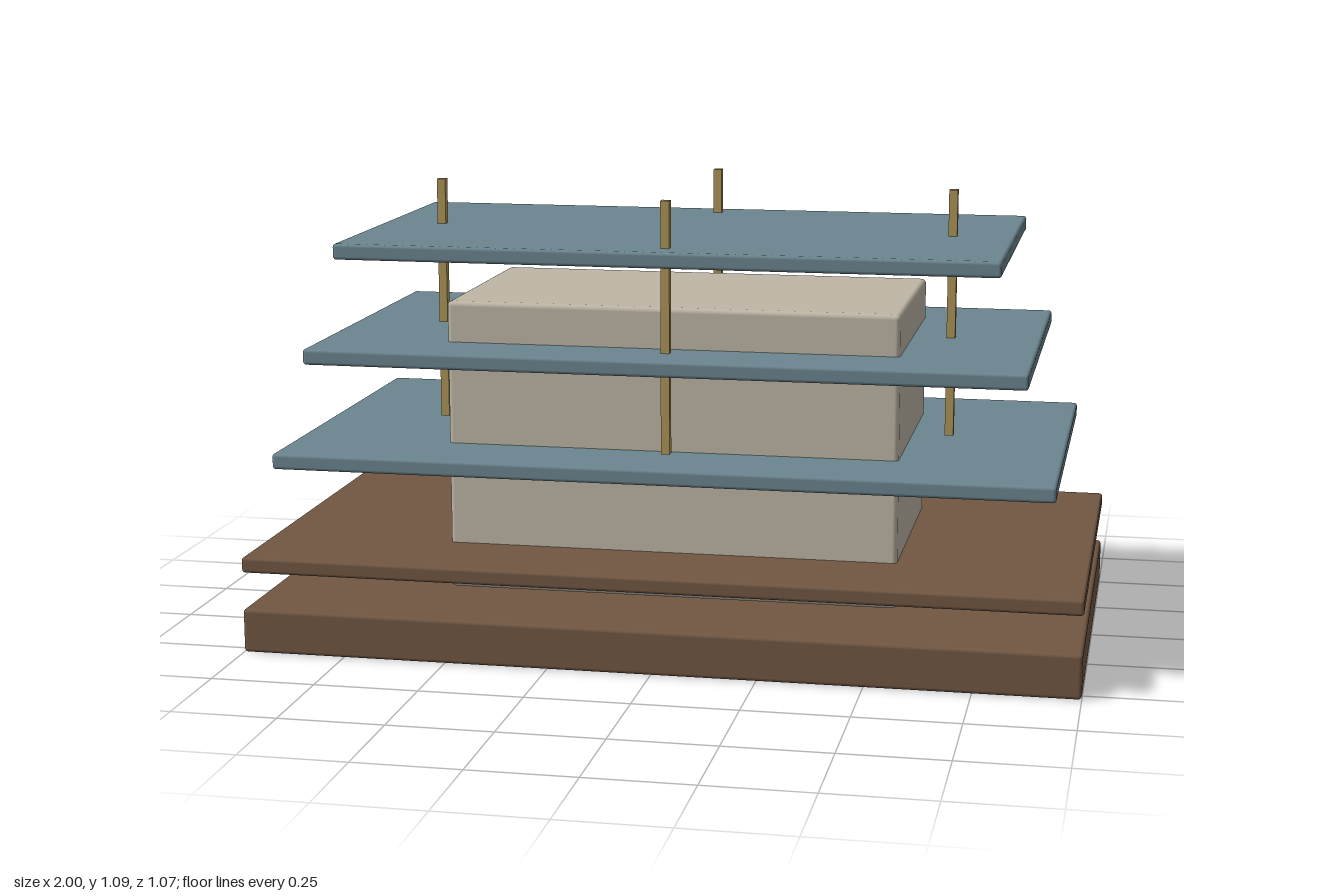
import * as THREE from 'three';
import { RoundedBoxGeometry } from 'three/addons/geometries/RoundedBoxGeometry.js';

function paint(name, color) {
  const material = new THREE.MeshStandardMaterial({ color });
  material.name = name;
  return material;
}

export function createModel() {
  const model = new THREE.Group();
  model.name = 'tieredPavilion';

  const wood = paint('brown wood', 0x715743);
  const slate = paint('slate blue', 0x6c8590);
  const stone = paint('pale stone', 0xbfb7a7);
  const brass = paint('brass', 0xae9558);

  // Softly rounded block centred on the y axis, given by its bottom and top heights
  function addBlock(name, material, width, depth, bottom, top, radius) {
    const height = top - bottom;
    const mesh = new THREE.Mesh(new RoundedBoxGeometry(width, height, depth, 3, radius), material);
    mesh.name = name;
    mesh.position.y = bottom + height / 2;
    model.add(mesh);
  }

  // Plinth and the thin deck floating above it
  addBlock('base', wood, 2, 1.07, 0, 0.107, 0.009);
  addBlock('deck', wood, 2, 1.07, 0.197, 0.235, 0.008);

  // Central core
  addBlock('core', stone, 1.096, 0.587, 0.122, 0.832, 0.012);

  // Three roof tiers, each smaller than the one below
  const tiers = [
    [1.857, 0.993, 0.446],
    [1.716, 0.918, 0.695],
    [1.578, 0.845, 0.944],
  ];
  tiers.forEach(([width, depth, bottom], i) => {
    addBlock(`roofTier${i + 1}`, slate, width, depth, bottom, bottom + 0.038, 0.008);
  });

  // Square rods through the upper tiers, one on each side
  const rodGeometry = new THREE.BoxGeometry(0.021, 0.604, 0.021);
  const rods = { leftRod: [0.64, 0], rightRod: [-0.64, 0], frontRod: [0, 0.342], backRod: [0, -0.342] };
  for (const [name, [x, z]] of Object.entries(rods)) {
    const rod = new THREE.Mesh(rodGeometry, brass);
    rod.name = name;
    rod.position.set(x, 0.792, z);
    model.add(rod);
  }

  return model;
}
